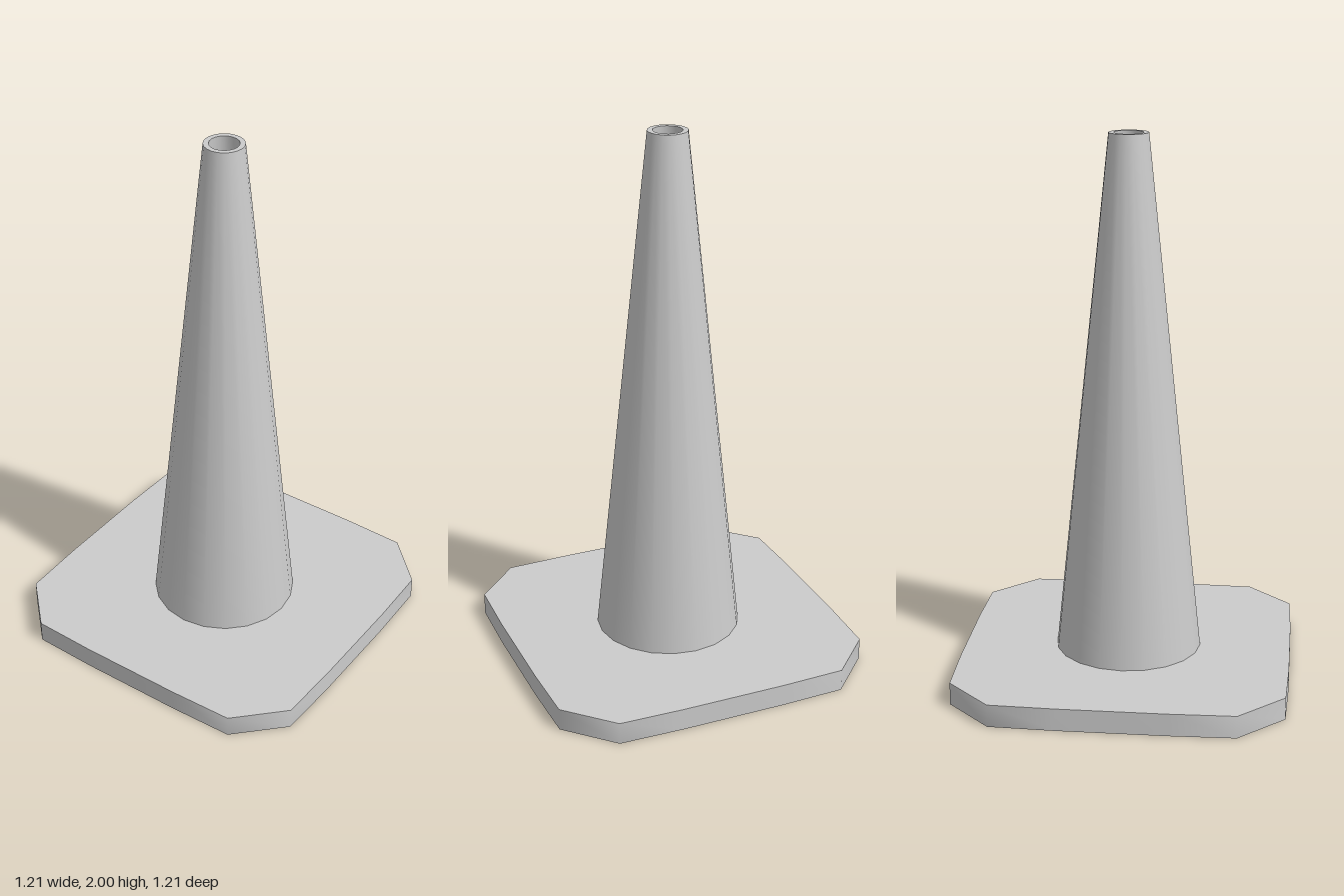
import * as THREE from 'three';
import { toCreasedNormals } from 'three/addons/utils/BufferGeometryUtils.js';

const SIDES = 20;
const CREASE = 0.9;
const PLATE_HEIGHT = 0.083;
const HOLE_RADIUS = 0.217;

// One point per side around a ring whose radius depends on the angle
function ring(radiusAt) {
  return Array.from({ length: SIDES }, (_, i) => {
    const a = (i / SIDES) * Math.PI * 2;
    const r = radiusAt(a);
    return new THREE.Vector2(r * Math.cos(a), r * Math.sin(a));
  });
}

// Distance to the edge of a slightly bulging square
function squareRadius(a) {
  const c = Math.max(Math.abs(Math.cos(a)), Math.abs(Math.sin(a)));
  return (c > 0.9 ? 0.607 : 0.6) / c;
}

export function createModel() {
  const model = new THREE.Group();
  model.name = 'trafficCone';
  const material = new THREE.MeshStandardMaterial({ color: 0xcccccc });

  const add = (name, geometry) => {
    const mesh = new THREE.Mesh(toCreasedNormals(geometry, CREASE), material);
    mesh.name = name;
    model.add(mesh);
  };

  // Base plate: square with cut corners and a round hole
  const outline = new THREE.Shape(ring(squareRadius));
  outline.holes.push(new THREE.Path(ring(() => HOLE_RADIUS)));
  const plate = new THREE.ExtrudeGeometry(outline, { depth: PLATE_HEIGHT, bevelEnabled: false });
  plate.rotateX(-Math.PI / 2);
  add('basePlate', plate);

  // Hollow cone: outer wall, top rim, then inner wall down to the ground
  const profile = [
    [0.27, PLATE_HEIGHT],
    [0.072, 2],
    [0.053, 2],
    [HOLE_RADIUS, 0],
  ].map(([r, y]) => new THREE.Vector2(r, y));
  add('coneBody', new THREE.LatheGeometry(profile, SIDES));

  return model;
}
